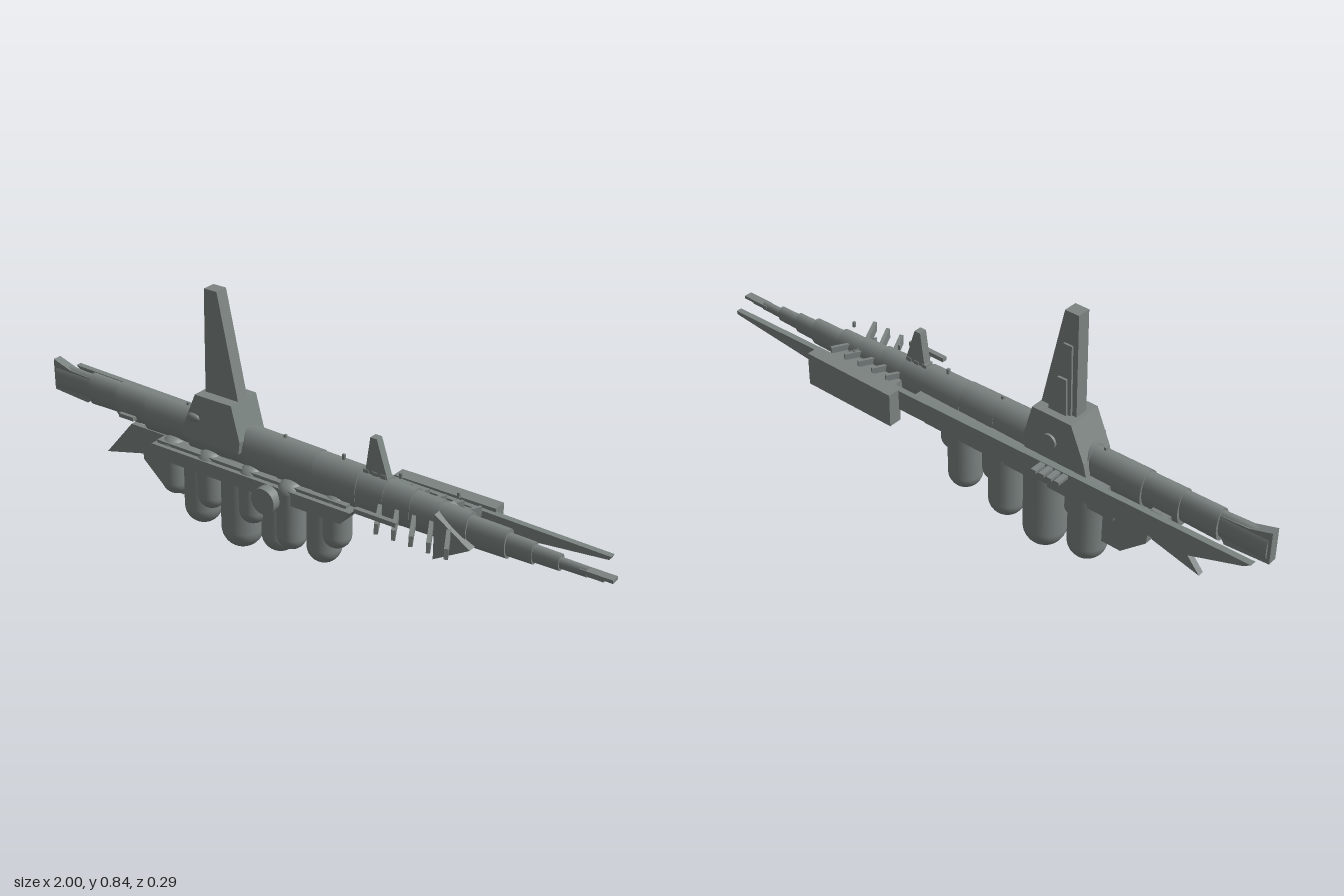
import * as THREE from 'three';

export function createModel() {
  const model = new THREE.Group();
  model.name = 'spaceship';
  const hullGrey = new THREE.MeshStandardMaterial({ color: 0x7b8381 });
  hullGrey.name = 'hull grey';

  function add(name, geometry, parent = model) {
    const mesh = new THREE.Mesh(geometry, hullGrey);
    mesh.name = name;
    parent.add(mesh);
    return mesh;
  }
  // Box given by its limits on each axis
  function box(name, x0, x1, y0, y1, z0, z1, parent) {
    const mesh = add(name, new THREE.BoxGeometry(x1 - x0, y1 - y0, z1 - z0), parent);
    mesh.position.set((x0 + x1) / 2, (y0 + y1) / 2, (z0 + z1) / 2);
    return mesh;
  }
  // Side outline extruded from z0 to z1
  function slab(name, points, z0, z1, parent) {
    const shape = new THREE.Shape(points.map(([x, y]) => new THREE.Vector2(x, y)));
    const geometry = new THREE.ExtrudeGeometry(shape, { depth: z1 - z0, bevelEnabled: false });
    geometry.translate(0, 0, z0);
    return add(name, geometry, parent);
  }
  function group(name) {
    const g = new THREE.Group();
    g.name = name;
    model.add(g);
    return g;
  }

  // Hull: overlapping oval drums, stepping down to the nose
  // rear x, front x, centre y, half height, half width
  const hull = group('hull');
  const drums = [
    [-0.99, -0.83, 0.378, 0.046, 0.022],
    [-0.84, -0.72, 0.375, 0.054, 0.03],
    [-0.72, -0.6, 0.37, 0.06, 0.036],
    [-0.6, -0.42, 0.366, 0.065, 0.042],
    [-0.42, -0.2, 0.36, 0.07, 0.047],
    [-0.2, -0.08, 0.356, 0.075, 0.05],
    [-0.08, 0.05, 0.352, 0.076, 0.05],
    [0.05, 0.2, 0.347, 0.075, 0.049],
    [0.2, 0.29, 0.343, 0.071, 0.045],
    [0.29, 0.38, 0.34, 0.067, 0.042],
    [0.38, 0.47, 0.337, 0.062, 0.039],
    [0.47, 0.56, 0.335, 0.057, 0.035],
    [0.56, 0.68, 0.332, 0.048, 0.029],
    [0.68, 0.76, 0.33, 0.036, 0.022],
    [0.76, 0.84, 0.33, 0.027, 0.018],
    [0.84, 0.92, 0.329, 0.017, 0.013],
  ];
  for (const [x0, x1, y, halfHeight, halfWidth] of drums) {
    const geometry = new THREE.CylinderGeometry(0.96, 1, x1 - x0, 32);
    geometry.rotateZ(-Math.PI / 2);
    geometry.scale(1, halfHeight, halfWidth);
    add('hullDrum', geometry, hull).position.set((x0 + x1) / 2, y, 0);
  }
  box('noseProbe', 0.9, 1, 0.328, 0.338, -0.014, 0.014);
  box('lowerNoseProbe', 0.9, 0.97, 0.318, 0.326, -0.007, 0.007);

  // Tail
  slab('tailFin', [[-1, 0.335], [-0.86, 0.325], [-0.8, 0.41], [-0.93, 0.418], [-1, 0.44]], -0.015, 0.015);
  box('tailWinglet', -0.7, -0.64, 0.333, 0.346, -0.045, 0.045);
  slab('lowerTailFin', [[-0.79, 0.17], [-0.63, 0.21], [-0.58, 0.3], [-0.68, 0.3]], -0.01, 0.01);
  slab('tailPylon', [[-0.63, 0.31], [-0.62, 0.2], [-0.535, 0.125], [-0.46, 0.125], [-0.4, 0.31]], -0.025, 0.025);

  // Command tower and mast
  slab('towerBase', [[-0.43, 0.355], [-0.21, 0.355], [-0.205, 0.395], [-0.235, 0.507],
    [-0.372, 0.507], [-0.42, 0.395]], -0.06, 0.06);
  slab('mast', [[-0.36, 0.5], [-0.235, 0.5], [-0.308, 0.837], [-0.355, 0.837]], -0.02, 0.024);
  slab('mastPanel', [[-0.345, 0.5], [-0.265, 0.5], [-0.31, 0.735], [-0.34, 0.735]], -0.027, -0.019);
  slab('mastLowerPanel', [[-0.335, 0.5], [-0.27, 0.5], [-0.3, 0.625], [-0.33, 0.625]], -0.035, -0.019);
  const dome = add('towerDome', new THREE.SphereGeometry(0.02, 20, 12));
  dome.scale.set(1.2, 0.7, 0.5);
  dome.position.set(-0.38, 0.43, 0.06);
  const port = add('towerPort', new THREE.CylinderGeometry(0.024, 0.024, 0.01, 20));
  port.rotation.x = Math.PI / 2;
  port.position.set(-0.3, 0.42, -0.063);

  // Forward dorsal fin and small masts
  slab('dorsalFin', [[0.21, 0.39], [0.295, 0.39], [0.25, 0.525], [0.228, 0.525]], -0.013, 0.013);
  for (const x of [-0.45, -0.08, 0.13, 0.325, 0.515]) {
    box('dorsalMarker', x - 0.004, x + 0.004, 0.42, 0.437, -0.004, 0.004);
  }
  for (const x of [0.215, 0.245, 0.275]) {
    box('dorsalHatch', x - 0.009, x + 0.009, 0.405, 0.42, -0.015, 0.015);
  }

  // Tank rack with its bevelled front end
  slab('tankRack', [[-0.54, 0.3], [-0.53, 0.255], [0.17, 0.255], [0.205, 0.3]], -0.063, 0.075);
  box('rackSpine', -0.53, 0.18, 0.28, 0.31, -0.06, 0.06);
  const rackDisc = add('rackDisc', new THREE.CylinderGeometry(0.042, 0.042, 0.035, 32));
  rackDisc.rotation.x = Math.PI / 2;
  rackDisc.position.set(-0.085, 0.258, 0.09);

  // Hanging tanks: x, z, radius, bottom y
  const tanks = group('tanks');
  const tankRows = [
    [-0.49, 0.022, 0.045, 0.125], [-0.41, -0.012, 0.06, 0.035],
    [-0.34, 0.03, 0.045, 0.125], [-0.255, -0.012, 0.067, 0.002],
    [-0.18, 0.03, 0.044, 0.125], [-0.11, -0.012, 0.058, 0.035],
    [-0.03, 0.036, 0.046, 0.09], [0.055, -0.011, 0.054, 0.053],
    [0.125, 0.022, 0.044, 0.14],
  ];
  for (const [x, z, r, bottom] of tankRows) {
    const profile = [];
    for (let i = 0; i <= 10; i++) {
      const a = (i / 10) * Math.PI / 2;
      profile.push(new THREE.Vector2(r * Math.sin(a), bottom + r * (1 - Math.cos(a))));
    }
    for (let i = 0; i <= 6; i++) {
      const a = (i / 6) * Math.PI / 2;
      profile.push(new THREE.Vector2(r * Math.cos(a), 0.285 + 0.037 * Math.sin(a)));
    }
    add('tank', new THREE.LatheGeometry(profile, 28), tanks).position.set(x, 0, z);
  }

  // Long side deck on the back, its struts and hangar block
  slab('sideDeck', [[-0.995, 0.386], [-0.97, 0.37], [-0.8, 0.31], [0.45, 0.29],
    [0.6, 0.3], [0.94, 0.334], [0.945, 0.345]], -0.1, -0.08);
  box('deckStrut', -0.5, 0.2, 0.3, 0.35, -0.085, -0.03);
  box('frontDeckStrut', 0.28, 0.54, 0.3, 0.35, -0.085, -0.02);
  box('hangarBlock', 0.24, 0.58, 0.252, 0.364, -0.14, -0.095);
  for (let i = 0; i < 4; i++) {
    const x = -0.39 + i * 0.027;
    box('deckVent', x - 0.009, x + 0.009, 0.36, 0.37, -0.142, -0.098);
  }

  // Raked antenna rods on both sides of the bow
  const rods = group('antennaRods');
  for (let i = 0; i < 5; i++) {
    const x = 0.285 + i * 0.057;
    const frontRod = add('frontRod', new THREE.BoxGeometry(0.012, 0.033, 0.14), rods);
    frontRod.position.set(x + 0.022, 0.327, 0.082);
    frontRod.rotation.y = 0.5;
    const backRod = add('backRod', new THREE.BoxGeometry(0.01, 0.03, 0.08), rods);
    backRod.position.set(x + 0.012, 0.355, -0.04);
    backRod.rotation.y = -0.5;
  }
  box('rodBar', 0.255, 0.395, 0.344, 0.358, 0.114, 0.13);

  // Arrow-shaped bow vane
  slab('bowVane', [[0.47, 0.375], [0.47, 0.232], [0.587, 0.3]], -0.05, 0.05);

  return model;
}
